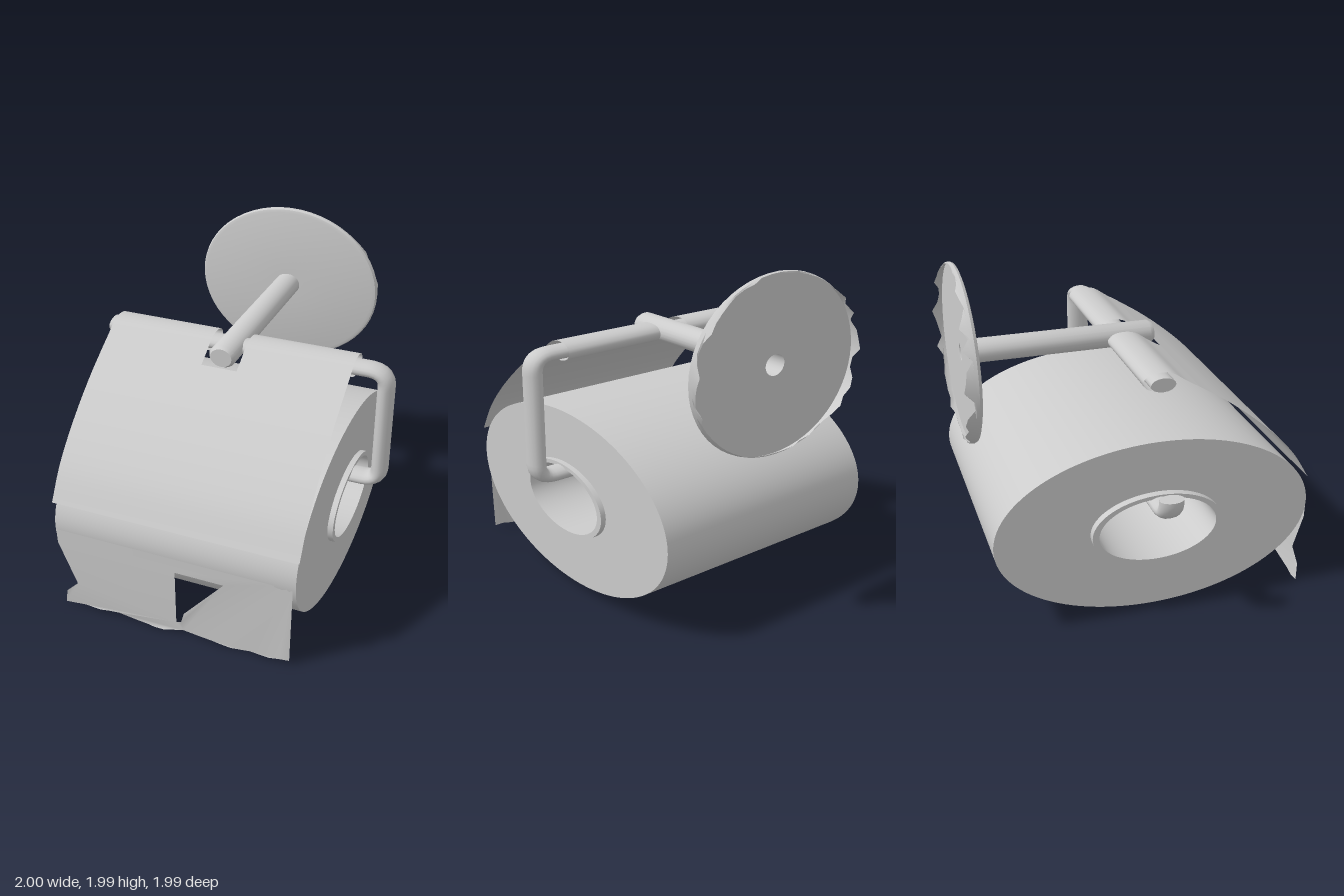
import * as THREE from 'three';
import { toCreasedNormals } from 'three/addons/utils/BufferGeometryUtils.js';

const solid = new THREE.MeshStandardMaterial({ color: 0xcccccc });
const thin = new THREE.MeshStandardMaterial({ color: 0xcccccc, side: THREE.DoubleSide });

function part(name, geometry, material = solid) {
  const mesh = new THREE.Mesh(geometry, material);
  mesh.name = name;
  return mesh;
}

// Elliptical ring lying along x; radii are given along z, height follows the squash
function ring(name, outer, inner, x0, x1) {
  const squash = 0.56;
  const shape = new THREE.Shape().absellipse(0, 0, outer, outer * squash, 0, Math.PI * 2);
  shape.holes.push(new THREE.Path().absellipse(0, 0, inner, inner * squash, 0, Math.PI * 2));
  const geo = new THREE.ExtrudeGeometry(shape, { depth: x1 - x0, bevelEnabled: false, curveSegments: 56 });
  geo.rotateY(Math.PI / 2).translate(x0, 0.585, 0.045);
  return part(name, toCreasedNormals(geo, 0.6));
}

// Sheet of width x0..x1 that follows part of a curve in the zy plane
function sheet(name, curve, t0, t1, x0, x1) {
  const n = 28;
  const geo = new THREE.PlaneGeometry(1, 1, 1, n);
  const pos = geo.attributes.position;
  for (let i = 0; i < pos.count; i++) {
    const p = curve.getPoint(t0 + (t1 - t0) * (0.5 - pos.getY(i)));
    pos.setXYZ(i, pos.getX(i) < 0 ? x0 : x1, p.y, p.z);
  }
  geo.computeVertexNormals();
  return part(name, geo, thin);
}

// Bent holder rod with a hook at one end
function makeRod() {
  const s = new THREE.Vector3(1.22, 1, 1.78), r = 0.041;
  const v = (x, y) => new THREE.Vector3(x, y, 0.055).divide(s);
  const path = new THREE.CurvePath();
  const line = (a, b) => path.add(new THREE.LineCurve3(v(...a), v(...b)));
  const bend = (a, b, c) => path.add(new THREE.QuadraticBezierCurve3(v(...a), v(...b), v(...c)));
  bend([-0.95, 0.87], [-0.95, 0.755], [-0.83, 0.755]);
  line([-0.83, 0.755], [0.85, 0.755]);
  bend([0.85, 0.755], [0.95, 0.755], [0.95, 0.84]);
  line([0.95, 0.84], [0.95, 1.39]);
  bend([0.95, 1.39], [0.95, 1.482], [0.84, 1.482]);
  line([0.84, 1.482], [-0.78, 1.482]);
  const rod = new THREE.Group();
  rod.name = 'rod';
  rod.add(part('rodTube', new THREE.TubeGeometry(path, 160, r, 16)));
  const hookCap = part('hookCap', new THREE.CircleGeometry(r, 16));
  hookCap.rotation.x = -Math.PI / 2;
  hookCap.position.copy(v(-0.95, 0.87));
  const barCap = part('barCap', new THREE.CircleGeometry(r, 16));
  barCap.rotation.y = -Math.PI / 2;
  barCap.position.copy(v(-0.78, 1.482));
  rod.add(hookCap, barCap);
  rod.scale.copy(s);
  return rod;
}

// Lathe around the z axis of the wall mount
function mountLathe(name, points, segments, change) {
  const geo = new THREE.LatheGeometry(points.map(p => new THREE.Vector2(...p)), segments);
  if (change) change(geo.attributes.position);
  geo.rotateX(Math.PI / 2);
  geo.scale(1.18, 1, 1);
  geo.translate(0.014, 1.485, 0);
  return part(name, toCreasedNormals(geo, 0.6), thin);
}

function makeMount() {
  const mount = new THREE.Group();
  mount.name = 'wallMount';
  // Hollow arm, closed and chamfered at the front
  mount.add(mountLathe('arm', [[0.07, -0.9], [0.07, 0.235], [0.056, 0.26], [0, 0.26]], 24));
  // Wall plate with a ragged back rim
  let seed = 11;
  const random = () => (seed = (seed * 16807) % 2147483647) / 2147483647;
  const segments = 56;
  const jag = Array.from({ length: segments }, random);
  mount.add(mountLathe('plateRim',
    [[0.07, -0.89], [0.49, -0.89], [0.508, -0.896], [0.515, -0.91], [0.512, -0.93], [0.505, -0.94]],
    segments, pos => {
      for (let i = 0; i < pos.count; i++) {
        if (pos.getY(i) > -0.935) continue;
        const side = Math.abs(pos.getX(i)) / 0.505;
        const k = Math.floor(i / 6) % segments;
        pos.setY(i, -0.93 - 0.065 * side * jag[k] ** 1.5);
      }
    }));
  mount.add(mountLathe('plateBack', [[0.06, -0.912], [0.512, -0.912]], segments));
  return mount;
}

// Loose end of the paper, torn at the bottom and on one side
function makePaper() {
  const shape = new THREE.Shape();
  shape.moveTo(0.74, 0.6);
  shape.lineTo(-0.735, 0.6);
  [[-0.73, 0.47], [-0.62, 0.19], [-0.7, 0.11], [-0.72, 0.01]].forEach(p => shape.lineTo(...p));
  for (let i = 1; i <= 24; i++) {
    const x = -0.72 + i * 1.45 / 24;
    shape.lineTo(x, 0.022 + 0.012 * Math.sin(x * 11) + 0.005 * Math.sin(x * 29));
  }
  const tear = [[0.03, 0.47], [0.33, 0.47], [0.08, 0.18], [0.06, 0.11], [0.03, 0.1]];
  shape.holes.push(new THREE.Path(tear.map(p => new THREE.Vector2(...p))));
  const geo = new THREE.ShapeGeometry(shape);
  const pos = geo.attributes.position;
  for (let i = 0; i < pos.count; i++) {
    const curl = pos.getY(i) < 0.06 ? 0.01 + 0.008 * Math.sin(pos.getX(i) * 17) : 0;
    pos.setZ(i, 0.999 - curl);
  }
  geo.computeVertexNormals();
  return part('looseSheet', geo, thin);
}

// Curved cover hanging over the upper bar, with a notch for the arm
function makeCover() {
  const cover = new THREE.Group();
  cover.name = 'cover';
  const P = (z, y) => new THREE.Vector3(0, y, z);
  const wrap = new THREE.CatmullRomCurve3([
    P(0.13, 1.45), P(0.05, 1.432), P(-0.03, 1.455), P(-0.05, 1.495), P(-0.02, 1.53),
    P(0.05, 1.543), P(0.12, 1.53), P(0.2, 1.478), P(0.28, 1.43)]);
  const hang = new THREE.CatmullRomCurve3([
    P(0.28, 1.43), P(0.45, 1.32), P(0.62, 1.19), P(0.77, 1.055), P(0.89, 0.92), P(0.995, 0.75)]);
  cover.add(
    sheet('coverWrapRight', wrap, 0, 1, -0.745, -0.1),
    sheet('coverWrapLeft', wrap, 0, 1, 0.12, 0.77),
    sheet('coverPanel', hang, 0, 1, -0.745, 0.77));
  return cover;
}

export function createModel() {
  const model = new THREE.Group();
  model.name = 'paperRollHolder';
  model.add(
    ring('paperRoll', 0.955, 0.385, -0.735, 0.757),
    ring('rollCore', 0.395, 0.355, -0.78, 0.79),
    makePaper(), makeCover(), makeRod(), makeMount());
  return model;
}
